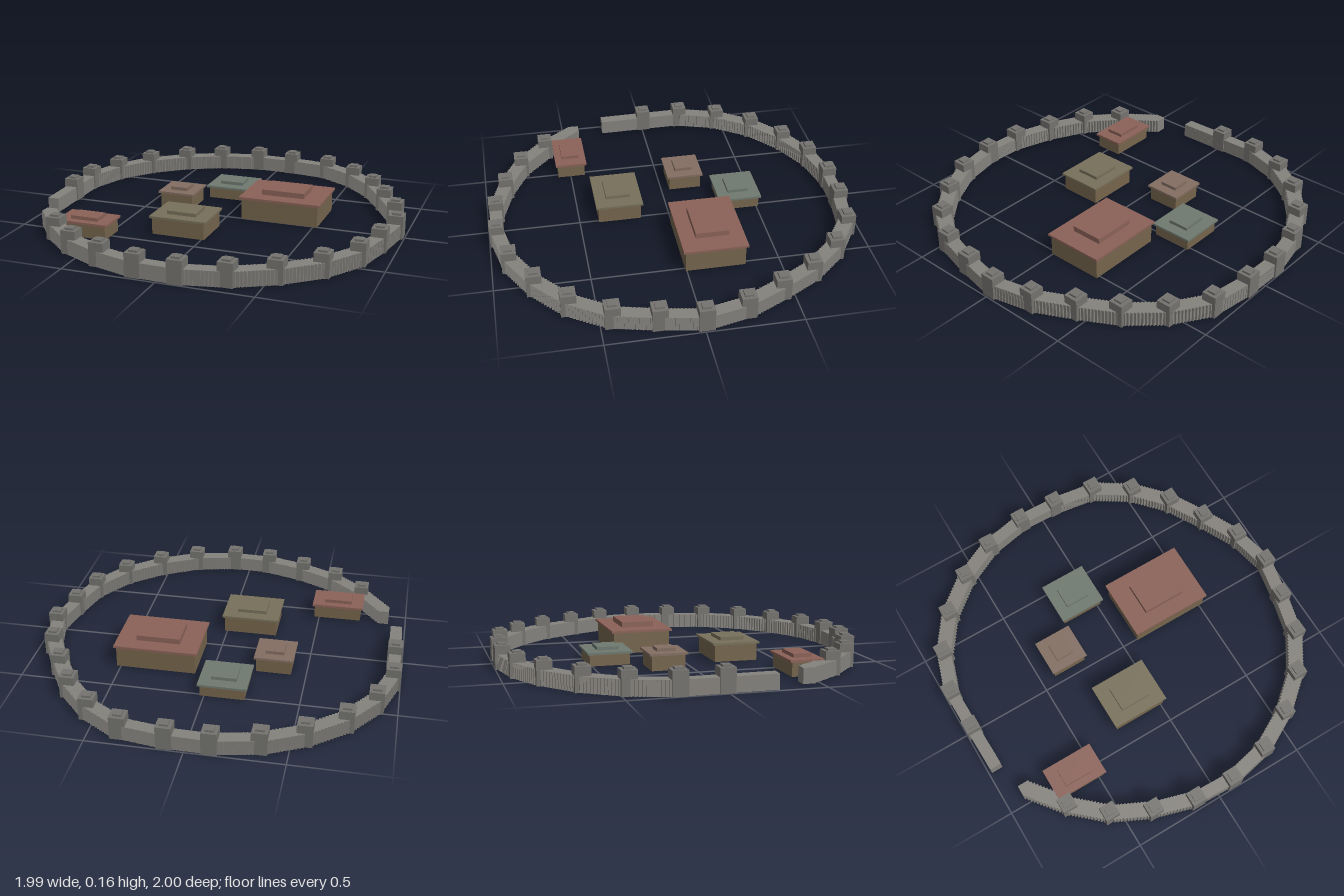
import * as THREE from 'three';
import { mergeGeometries } from 'three/addons/utils/BufferGeometryUtils.js';

const mat = (color) => new THREE.MeshStandardMaterial({ color, flatShading: true });

// Box standing on y0, reaching y1
function block(w, d, y0, y1, x, z) {
  return new THREE.BoxGeometry(w, y1 - y0, d).translate(x, (y0 + y1) / 2, z);
}

// Tower centres, walked around the ring from one side of the gate to the other
const TOWERS = [
  [-0.957, -0.008], [-0.96, -0.24], [-0.888, -0.465], [-0.753, -0.657], [-0.566, -0.81],
  [-0.36, -0.912], [-0.125, -0.96], [0.1, -0.955], [0.34, -0.92], [0.535, -0.795],
  [0.69, -0.625], [0.8, -0.433], [0.903, -0.23], [0.953, -0.008], [0.912, 0.215],
  [0.856, 0.439], [0.726, 0.64], [0.543, 0.795], [0.334, 0.907], [0.098, 0.957],
  [-0.125, 0.949], [-0.348, 0.882], [-0.556, 0.78], [-0.726, 0.627],
];
const GATE_ENDS = [[-0.952, 0.222], [-0.87, 0.44]];

// Roof rectangle, cap rectangle, body / roof / cap heights
const HOUSES = [
  { name: 'greatHall', x: [0.077, 0.535], z: [-0.327, 0.018], cap: [0.24, 0.18], y: [0.117, 0.13, 0.16], color: 0x8b6258 },
  { name: 'greenHouse', x: [-0.226, 0.035], z: [-0.524, -0.282], cap: [0.135, 0.117], y: [0.062, 0.074, 0.092], color: 0x6f7a70 },
  { name: 'brownHouse', x: [-0.43, -0.217], z: [-0.24, -0.035], cap: [0.1, 0.1], y: [0.08, 0.092, 0.11], color: 0x836e62 },
  { name: 'oliveHouse', x: [-0.292, 0.027], z: [0.147, 0.407], cap: [0.165, 0.135], y: [0.091, 0.103, 0.122], color: 0x78705a },
  { name: 'gateHouse', x: [-0.75, -0.46], z: [0.405, 0.585], cap: [0.155, 0.1], y: [0.074, 0.087, 0.106], color: 0x8b6258 },
];

export function createModel() {
  const model = new THREE.Group();
  const add = (parent, name, geometry, material) => {
    const mesh = new THREE.Mesh(geometry, material);
    mesh.name = name;
    parent.add(mesh);
  };

  // Ring wall: short square blocks stepped along each stretch between towers
  const wallMat = mat(0x85827d);
  const wall = new THREE.Group();
  wall.name = 'ringWall';
  const path = [GATE_ENDS[0], ...TOWERS, GATE_ENDS[1]];
  const STEPS = 13;
  for (let i = 0; i < path.length - 1; i++) {
    const [ax, az] = path[i], [bx, bz] = path[i + 1];
    const blocks = [];
    for (let k = 0; k <= STEPS; k++) {
      const t = k / STEPS;
      blocks.push(block(0.064, 0.064, 0, 0.08, ax + (bx - ax) * t, az + (bz - az) * t));
    }
    add(wall, 'wallStretch', mergeGeometries(blocks), wallMat);
  }
  model.add(wall);

  // Towers with a smaller cap
  const towerMat = mat(0x74736f);
  for (const [x, z] of TOWERS) {
    const tower = new THREE.Group();
    tower.name = 'tower';
    add(tower, 'towerShaft', block(0.08, 0.08, 0, 0.126, x, z), towerMat);
    add(tower, 'towerCap', block(0.046, 0.046, 0.126, 0.137, x, z), towerMat);
    model.add(tower);
  }

  // Houses: body, overhanging roof slab and raised cap
  const bodyMat = mat(0x75654c);
  for (const h of HOUSES) {
    const house = new THREE.Group();
    house.name = h.name;
    const w = h.x[1] - h.x[0], d = h.z[1] - h.z[0];
    const cx = (h.x[0] + h.x[1]) / 2, cz = (h.z[0] + h.z[1]) / 2;
    const roofMat = mat(h.color);
    add(house, 'body', block(w - 0.024, d - 0.024, 0, h.y[0], cx, cz), bodyMat);
    add(house, 'roof', block(w, d, h.y[0], h.y[1], cx, cz), roofMat);
    add(house, 'roofCap', block(h.cap[0], h.cap[1], h.y[1], h.y[2], cx, cz), roofMat);
    model.add(house);
  }
  return model;
}
